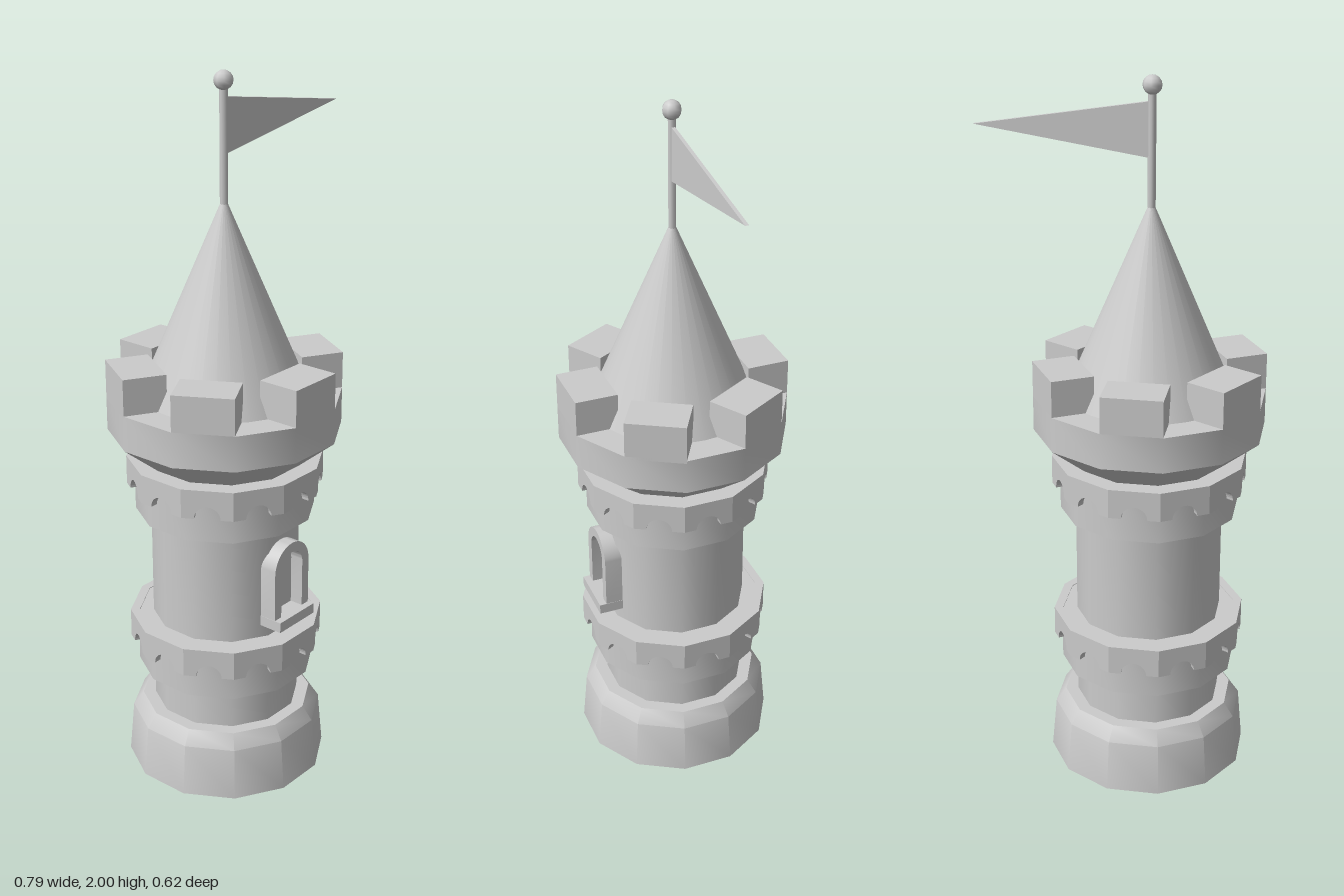
import * as THREE from 'three';
import { toCreasedNormals } from 'three/addons/utils/BufferGeometryUtils.js';

const SIDES = 12;
const STEP = (Math.PI * 2) / SIDES;
const APOTHEM = Math.cos(STEP / 2);

export function createModel() {
  const tower = new THREE.Group();
  tower.name = 'tower';
  tower.position.x = -0.085;
  const material = new THREE.MeshStandardMaterial({ color: 0xcccccc });

  const add = (name, geometry, parent = tower) => {
    const mesh = new THREE.Mesh(geometry, material);
    mesh.name = name;
    parent.add(mesh);
    return mesh;
  };

  // Twelve-sided turned solid; profile is [distance to flat side, y], bottom to top
  const turned = (name, profile) => {
    const points = profile.map(([d, y]) => new THREE.Vector2(d / APOTHEM, y));
    const lathe = new THREE.LatheGeometry(points, SIDES, STEP / 2);
    return add(name, toCreasedNormals(lathe, 0.6));
  };

  // Masonry body
  turned('base', [[0, 0], [0.277, 0], [0.264, 0.15], [0.236, 0.19], [0, 0.19]]);
  turned('shaft', [[0.201, 0.18], [0.201, 0.96]]);
  turned('parapet', [[0, 0.945], [0.21, 0.945], [0.312, 1.03], [0.312, 1.13], [0, 1.13]]);

  // Ring courses with a scalloped band of one arch per side
  const bandOut = 0.265, bandDepth = 0.025, bandHeight = 0.083;
  const half = bandOut * Math.tan(STEP / 2);
  const scallop = new THREE.Shape();
  scallop.moveTo(-half, 0);
  scallop.lineTo(-0.036, 0);
  scallop.absarc(0, 0, 0.036, Math.PI, 0, true);
  scallop.lineTo(half, 0);
  scallop.lineTo(half, bandHeight);
  scallop.lineTo(-half, bandHeight);
  const panel = new THREE.ExtrudeGeometry(scallop, { depth: bandDepth, bevelEnabled: false, curveSegments: 8 });
  panel.translate(0, 0, bandOut - bandDepth);

  for (const [name, y] of [['lowerRing', 0.307], ['upperRing', 0.79]]) {
    turned(name, [[0.19, y], [0.243, y], [0.243, y + 0.157], [0.19, y + 0.157]]);
    const band = new THREE.Group();
    band.name = name + 'Scallops';
    band.position.y = y + 0.076;
    tower.add(band);
    for (let i = 0; i < SIDES; i++) add('scallop', panel, band).rotation.y = i * STEP;
  }

  // Merlons on every other side of the parapet
  const merlon = new THREE.BoxGeometry(0.167, 0.11, 0.12).translate(0, 1.177, 0.252);
  for (let i = 0; i < 6; i++) add('merlon', merlon).rotation.y = i * STEP * 2;

  // Roof, flagpole and finial
  add('roof', new THREE.ConeGeometry(0.235, 0.552, 32).translate(0, 1.402, 0));
  add('flagpole', new THREE.CylinderGeometry(0.011, 0.011, 0.33, 8).translate(0, 1.81, 0));
  add('finial', new THREE.SphereGeometry(0.026, 8, 8).translate(0, 1.974, 0));

  // Pennant
  const pennant = new THREE.Shape();
  pennant.moveTo(0.005, 1.785);
  pennant.lineTo(0.475, 1.857);
  pennant.lineTo(0.005, 1.932);
  add('pennant', new THREE.ExtrudeGeometry(pennant, { depth: 0.01, bevelEnabled: false }).translate(0, 0, -0.005));

  // Arched window frame and sill
  const arch = (path, w, bottom) => {
    path.moveTo(-w, bottom);
    path.lineTo(w, bottom);
    path.lineTo(w, 0.67);
    path.absarc(0, 0.67, w, 0, Math.PI, false);
    path.lineTo(-w, bottom);
    return path;
  };
  const frame = arch(new THREE.Shape(), 0.074, 0.51);
  frame.holes.push(arch(new THREE.Path(), 0.046, 0.525));
  const frameGeo = new THREE.ExtrudeGeometry(frame, { depth: 0.05, bevelEnabled: false, curveSegments: 12 });
  add('windowFrame', toCreasedNormals(frameGeo.translate(0, 0, 0.19), 0.6));
  add('windowSill', new THREE.BoxGeometry(0.15, 0.03, 0.07).translate(0, 0.517, 0.225));

  return new THREE.Group().add(tower);
}
